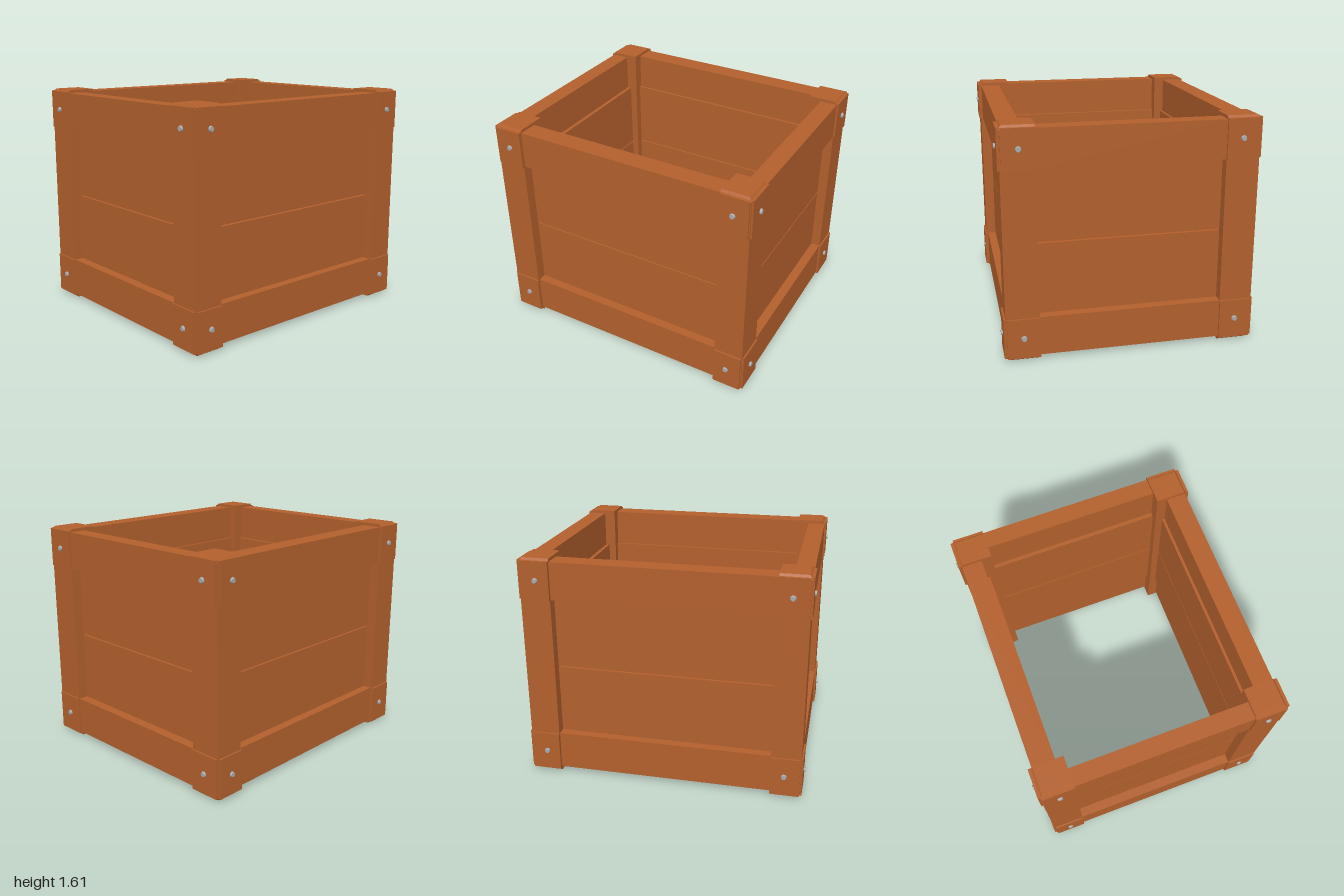
import * as THREE from 'three';

export function createModel() {
  const crate = new THREE.Group();
  crate.name = 'openCrate';
  const wood = new THREE.MeshStandardMaterial({ color: 0xb3602d });
  wood.name = 'wood';
  const steel = new THREE.MeshStandardMaterial({ color: 0xa8abad });
  steel.name = 'steel';

  const add = (name, geometry, material, parent = crate) => {
    const mesh = new THREE.Mesh(geometry, material);
    mesh.name = name;
    parent.add(mesh);
    return mesh;
  };

  // Box given by its lower and upper limits on each axis
  const box = (name, x0, x1, y0, y1, z0, z1, parent) => {
    const g = new THREE.BoxGeometry(x1 - x0, y1 - y0, z1 - z0);
    g.translate((x0 + x1) / 2, (y0 + y1) / 2, (z0 + z1) / 2);
    return add(name, g, wood, parent);
  };

  // Corner post whose outward edges are chamfered at both ends
  const postGeometry = (sx, sz) => {
    const levels = [1.61, 1.585, 0.025, 0];
    let g = new THREE.BoxGeometry(0.21, 3, 0.23, 1, 3, 1);
    const p = g.attributes.position;
    for (let i = 0; i < p.count; i++) {
      const row = Math.round(1.5 - p.getY(i));
      const inset = row === 0 || row === 3 ? 0.02 : 0;
      const x = p.getX(i) * sx > 0 ? 0.975 - inset : 0.765;
      const z = p.getZ(i) * sz > 0 ? 0.86 - inset : 0.63;
      p.setXYZ(i, sx * x, levels[row], sz * z);
    }
    g = g.toNonIndexed();
    g.computeVertexNormals();
    return g;
  };

  const boltGeometry = new THREE.CylinderGeometry(0.016, 0.022, 0.016, 12);
  boltGeometry.rotateX(Math.PI / 2);

  for (const sx of [-1, 1]) {
    for (const sz of [-1, 1]) {
      const corner = new THREE.Group();
      corner.name = (sz > 0 ? 'front' : 'back') + (sx > 0 ? 'Left' : 'Right') + 'Corner';
      crate.add(corner);
      add('post', postGeometry(sx, sz), wood, corner);

      // Raised end plates and bolts on both outer faces
      for (const [y0, y1, boltY] of [[0.02, 0.305, 0.165], [1.32, 1.595, 1.46]]) {
        const xs = [0.765 * sx, 0.968 * sx].sort((a, b) => a - b);
        const zs = [0.845 * sz, 0.873 * sz].sort((a, b) => a - b);
        box('endPlate', ...xs, y0, y1, ...zs, corner);
        const xo = [0.955 * sx, 0.987 * sx].sort((a, b) => a - b);
        const zo = [0.63 * sz, 0.852 * sz].sort((a, b) => a - b);
        box('sidePlate', ...xo, y0, y1, ...zo, corner);

        const endBolt = add('endBolt', boltGeometry, steel, corner);
        endBolt.position.set(0.86 * sx, boltY, 0.877 * sz);
        endBolt.rotation.y = sz > 0 ? 0 : Math.PI;
        const sideBolt = add('sideBolt', boltGeometry, steel, corner);
        sideBolt.position.set(0.992 * sx, boltY, 0.74 * sz);
        sideBolt.rotation.y = sx * Math.PI / 2;
      }
    }
  }

  // Rails and recessed boards of the four walls
  const rails = [[0.03, 0.305], [1.32, 1.588]];
  const boards = [[0.305, 0.803], [0.812, 1.32]];
  for (const s of [-1, 1]) {
    const span = (a, b) => (s > 0 ? [a, b] : [-b, -a]);
    const end = s > 0 ? 'front' : 'back';
    const side = s > 0 ? 'left' : 'right';
    for (const [y0, y1] of rails) {
      box(end + 'Rail', -0.766, 0.766, y0, y1, ...span(0.705, 0.847));
      box(side + 'Rail', ...span(0.848, 0.973), y0, y1, -0.631, 0.631);
    }
    for (const [y0, y1] of boards) {
      box(end + 'Board', -0.77, 0.77, y0, y1, ...span(0.685, 0.785));
      box(side + 'Board', ...span(0.82, 0.905), y0, y1, -0.635, 0.635);
    }
  }
  return crate;
}
